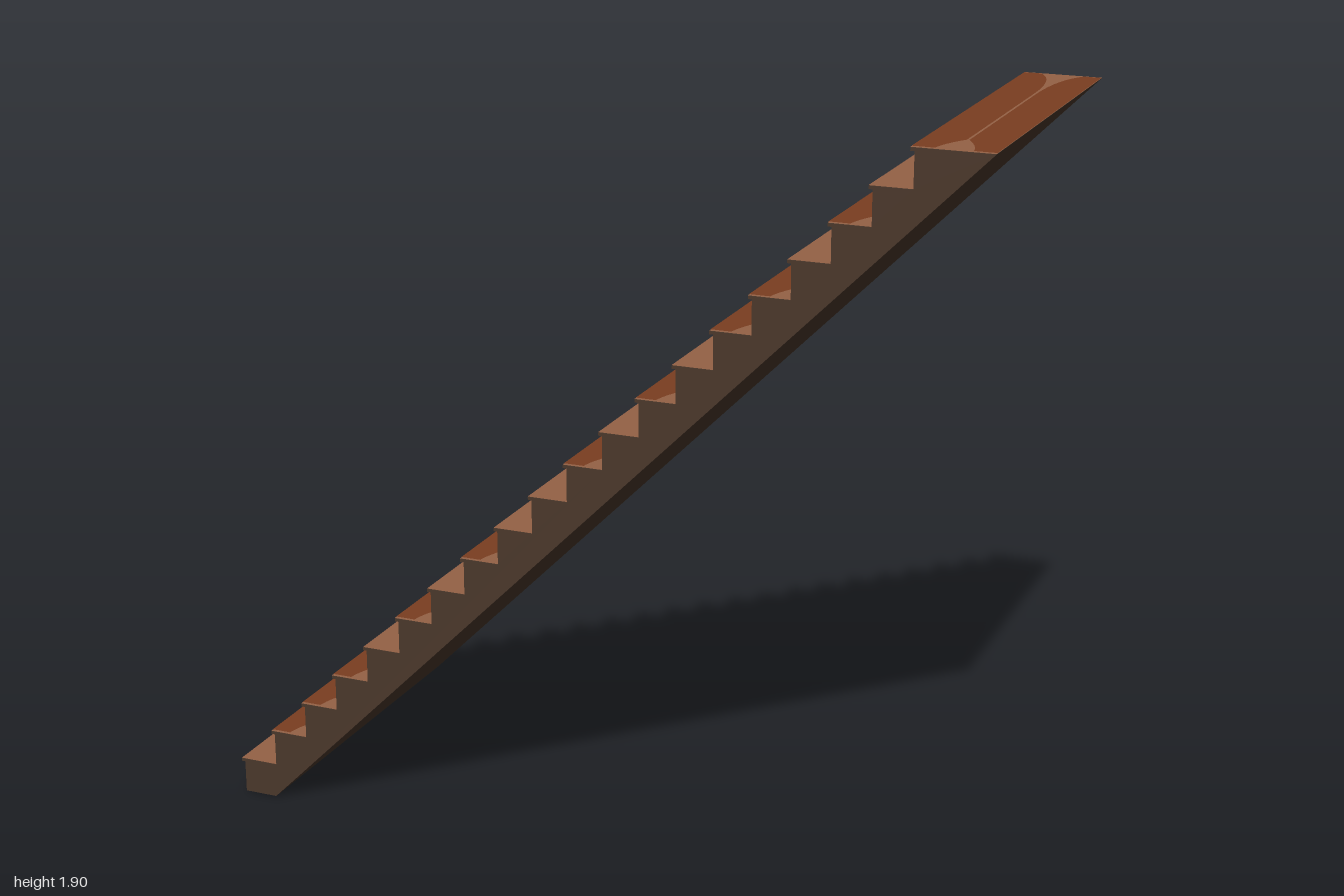
import * as THREE from 'three';

const STEPS = 20, RUN = 0.0949, RISE = 0.095, HALF = 0.475, NOSE = 0.01, LIP = 0.008;

export function createModel() {
  const group = new THREE.Group();
  group.name = 'staircase';
  const material = (name, color) => {
    const m = new THREE.MeshStandardMaterial({ color });
    m.name = name;
    return m;
  };
  const frameWood = material('dark frame wood', 0x4b382b);
  const wornWood = material('worn tread wood', 0x956145);
  const redWood = material('red tread wood', 0x7b3e20);

  const add = (name, geometry, mat, x, y) => {
    const mesh = new THREE.Mesh(geometry, mat);
    mesh.name = name;
    mesh.position.set(x, y, 0);
    group.add(mesh);
  };

  // Solid flight: sloping underside, then risers and overhanging noses
  const profile = new THREE.Shape();
  profile.moveTo(-0.9, 0);
  profile.lineTo(1, 1.898);
  for (let i = STEPS - 1; i >= 0; i--) {
    const nose = -1 + i * RUN, top = (i + 1) * RISE - 0.002;
    if (i < STEPS - 1) profile.lineTo(nose + RUN + NOSE, top);
    else profile.lineTo(1, top + 0.0005);
    profile.lineTo(nose, top);
    profile.lineTo(nose, top - LIP);
    profile.lineTo(nose + NOSE, top - LIP);
  }
  profile.lineTo(-1 + NOSE, 0);
  const flight = new THREE.ExtrudeGeometry(profile, { depth: 2 * HALF, bevelEnabled: false });
  flight.translate(0, 0, -HALF);
  add('flight', flight, frameWood, 0, 0);

  // Flat red face whose inner corners are worn away in a curve
  const redFace = (width, flip) => {
    const at = (u) => (flip ? 1 - u : u) * width;
    const s = new THREE.Shape();
    s.moveTo(at(0), -HALF + 0.008);
    s.lineTo(at(0.55), -HALF + 0.008);
    s.quadraticCurveTo(at(0.6), -0.42, at(0.97), -0.36);
    s.lineTo(at(0.97), 0.22);
    s.quadraticCurveTo(at(0.95), 0.4, at(0.45), HALF - 0.008);
    s.lineTo(at(0), HALF - 0.008);
    return new THREE.ShapeGeometry(s, 8).rotateX(-Math.PI / 2);
  };

  // Treads: a worn face on every step, red wood on some
  const redSteps = [1, 2, 3, 5, 7, 10, 12, 14, 15, 17, 19];
  for (let i = 0; i < STEPS; i++) {
    const nose = -1 + i * RUN, top = (i + 1) * RISE;
    const last = i === STEPS - 1;
    const width = last ? 1 - nose : RUN + NOSE;
    const face = new THREE.PlaneGeometry(width, 2 * HALF).rotateX(-Math.PI / 2);
    add('tread', face, wornWood, nose + width / 2, top - 0.001);
    if (!redSteps.includes(i)) continue;
    add('redTread', redFace(last ? width / 2 : RUN), redWood, nose, top);
    if (last) add('redLanding', redFace(width / 2, true), redWood, nose + width / 2, top);
  }
  return group;
}
